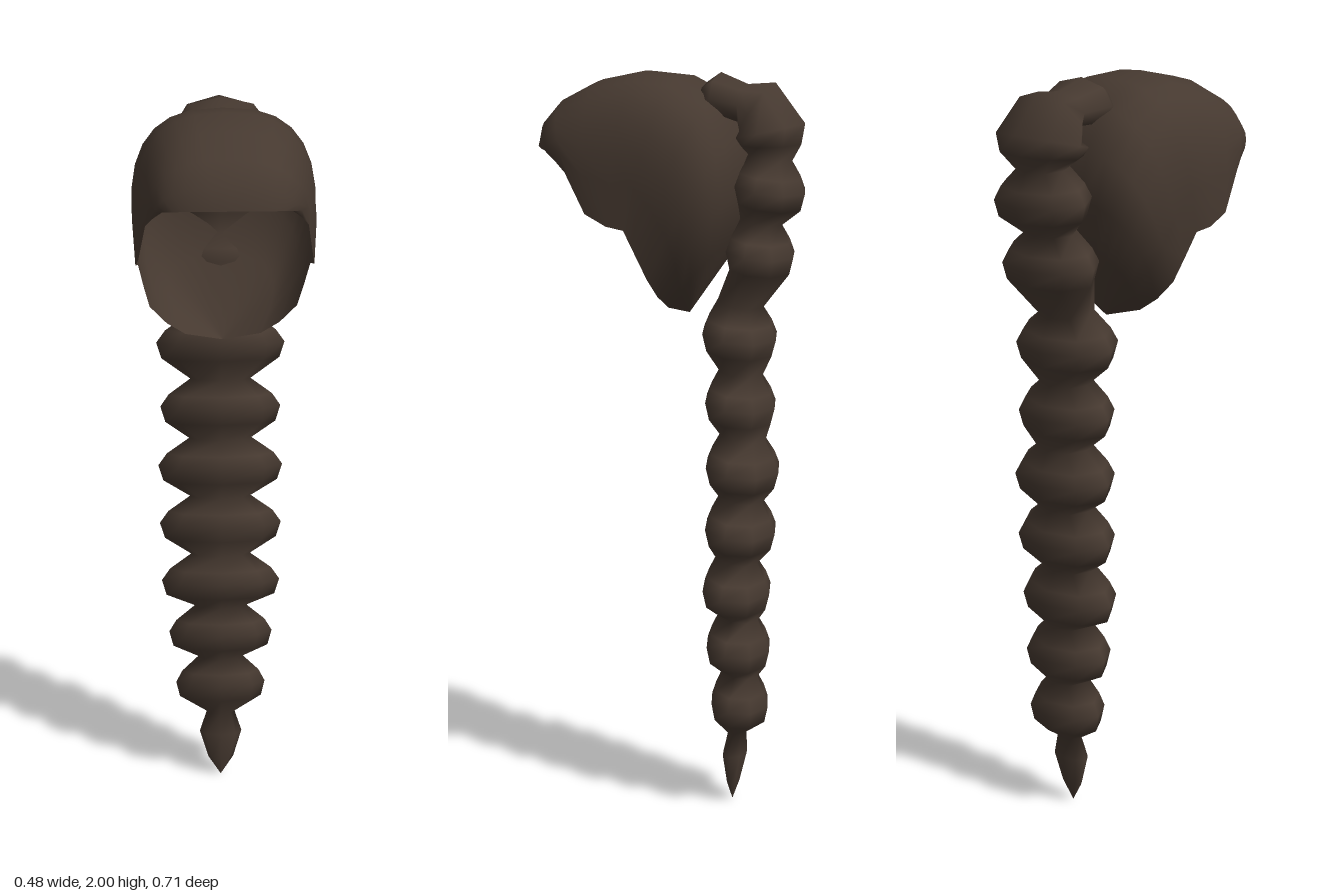
import * as THREE from 'three';

// Skin a list of equal-length point rows; closed joins each row into a ring
function loft(rows, closed) {
  const n = rows[0].length, pos = rows.flat(2), idx = [];
  for (let i = 0; i < rows.length - 1; i++) {
    for (let j = 0; j < (closed ? n : n - 1); j++) {
      const k = (j + 1) % n;
      const a = i * n + j, b = i * n + k, c = a + n, d = b + n;
      idx.push(a, c, b, b, c, d);
    }
  }
  const g = new THREE.BufferGeometry();
  g.setAttribute('position', new THREE.Float32BufferAttribute(pos, 3));
  g.setIndex(idx);
  g.computeVertexNormals();
  return g;
}

// Open shell over the head: arches from the left hem over the crown line to the right hem
function capGeometry() {
  // hem x, y, z | crown y, z | side bulge, roundness
  const arches = [
    [0.165, 1.795, 0.30, 1.81, 0.36, 0, 1],
    [0.19, 1.77, 0.27, 1.87, 0.345, 0, 0.9],
    [0.207, 1.745, 0.24, 1.925, 0.295, 0, 0.8],
    [0.225, 1.64, 0.18, 1.975, 0.2, 0.01, 0.75],
    [0.232, 1.61, 0.12, 2.0, 0.08, 0.03, 0.75],
    [0.225, 1.60, 0.075, 1.99, -0.03, 0.06, 0.75],
    [0.21, 1.53, 0.045, 1.94, -0.13, 0.09, 0.75],
    [0.195, 1.47, 0.02, 1.83, -0.19, 0.11, 0.72],
    [0.15, 1.42, 0.005, 1.70, -0.205, 0.13, 0.75],
    [0.1, 1.385, -0.01, 1.56, -0.165, 0.1, 0.8],
    [0.0, 1.36, -0.04, 1.36, -0.04, 0, 1],
  ];
  const steps = 16;
  return loft(arches.map(([ex, ey, ez, sy, sz, bulge, p]) =>
    Array.from({ length: steps + 1 }, (_, j) => {
      const t = Math.PI * j / steps, c = Math.cos(t);
      const s = Math.pow(Math.max(0, Math.sin(t)), p);
      const x = Math.sign(c) * Math.pow(Math.abs(c), p) * (ex + bulge * s);
      return [x, ey + (sy - ey) * s, ez + (sz - ez) * s];
    })), false);
}

// Braid: oval rings along a path that rises from the crown and hangs down the back
function braidGeometry() {
  // y, z, half width, half depth, tilt in degrees
  const rings = [
    [1.93, -0.085, 0, 0, 90],
    [1.93, -0.09, 0.09, 0.045, 90],
    [1.935, -0.125, 0.12, 0.064, 90],
    [1.92, -0.19, 0.085, 0.05, 80],
    [1.9, -0.23, 0.122, 0.086, 60],
    [1.85, -0.26, 0.15, 0.095, 12],
    [1.815, -0.263, 0.14, 0.08, 0],
  ];
  // plaited lobes: y, z, half width, half depth
  const lobes = [
    [1.70, -0.26, 0.165, 0.095], [1.53, -0.235, 0.17, 0.09],
    [1.31, -0.18, 0.176, 0.1], [1.125, -0.183, 0.166, 0.095],
    [0.95, -0.19, 0.173, 0.1], [0.78, -0.185, 0.17, 0.096],
    [0.61, -0.175, 0.166, 0.092], [0.45, -0.18, 0.146, 0.088],
    [0.29, -0.185, 0.127, 0.08],
  ];
  for (const [y, z, w, d] of lobes) {
    rings.push(
      [y + 0.08, z, w * 0.5, d * 0.62, -10],
      [y + 0.035, z, w * 0.86, d * 0.86, -10],
      [y, z, w, d, -10],
      [y - 0.045, z, w * 0.92, d * 0.88, -10]);
  }
  // pointed tail
  rings.push([0.2, -0.178, 0.04, 0.025, 0], [0.14, -0.172, 0.06, 0.033, 0],
    [0.06, -0.168, 0.036, 0.017, 0], [0.005, -0.165, 0, 0, 0]);

  const sides = 8;
  return loft(rings.map(([y, z, w, d, deg]) => {
    const a = THREE.MathUtils.degToRad(deg);
    return Array.from({ length: sides }, (_, j) => {
      const t = 2 * Math.PI * j / sides, s = d * Math.sin(t);
      return [w * Math.cos(t), y + s * Math.sin(a), z - s * Math.cos(a)];
    });
  }), true);
}

export function createModel() {
  const hair = new THREE.MeshStandardMaterial({ color: 0x463930, side: THREE.DoubleSide });
  hair.name = 'darkBrownHair';

  const model = new THREE.Group();
  model.name = 'braidedHair';
  const parts = { hairCap: capGeometry(), braid: braidGeometry() };
  for (const [name, geometry] of Object.entries(parts)) {
    const mesh = new THREE.Mesh(geometry, hair);
    mesh.name = name;
    model.add(mesh);
  }
  return model;
}
